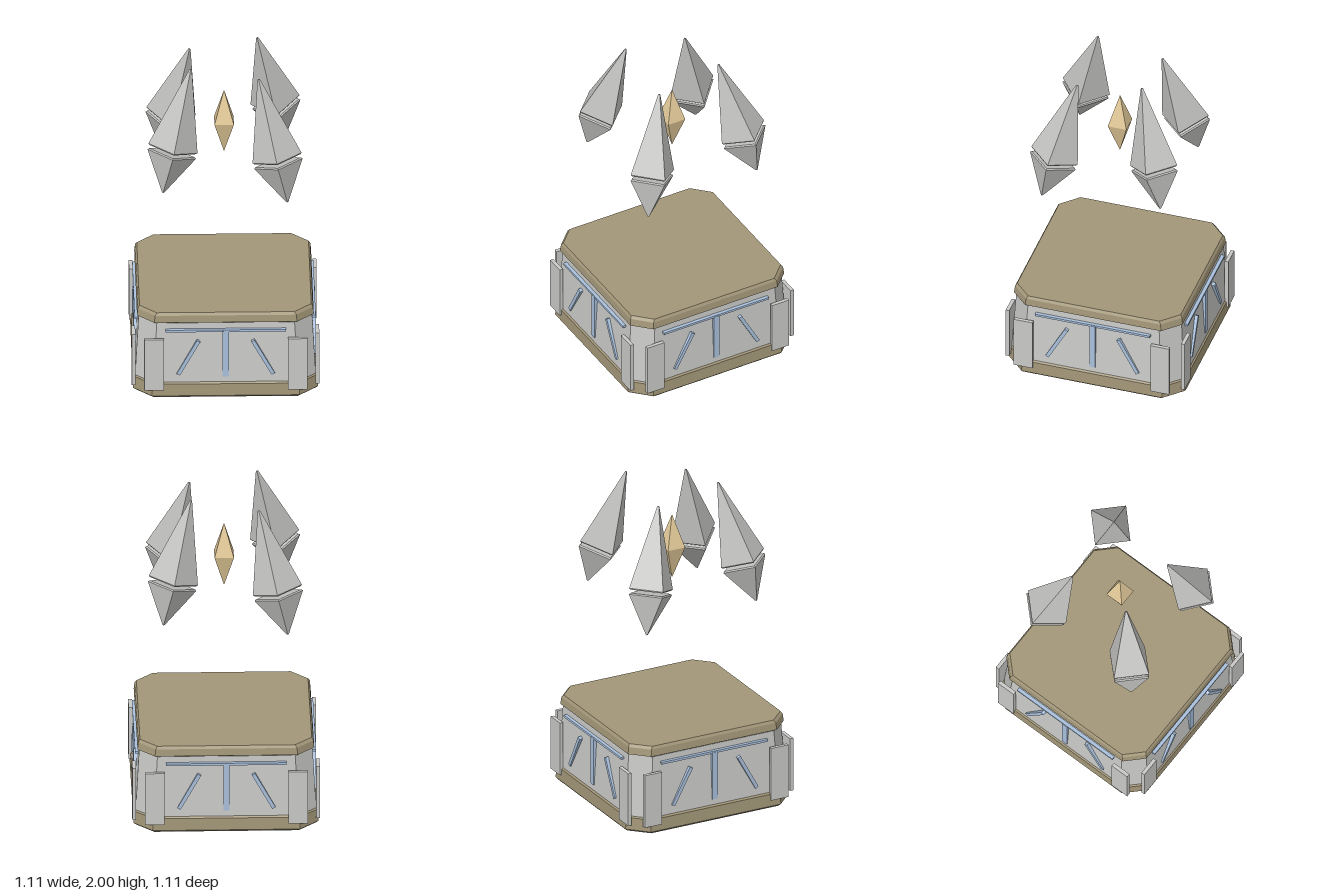
import * as THREE from 'three';

const mat = (name, color) => {
  const m = new THREE.MeshStandardMaterial({ color });
  m.name = name;
  return m;
};

// Gives every face its own normal
function faceted(geometry) {
  const g = geometry.index ? geometry.toNonIndexed() : geometry;
  g.computeVertexNormals();
  return g;
}

// Square slab with cut corners, lofted through [y, halfWidth] rings from bottom to top
function octagonSlab(rings, cut) {
  const positions = [], index = [];
  for (const [y, r] of rings) {
    const c = r - cut;
    for (const [x, z] of [[c, r], [r, c], [r, -c], [c, -r], [-c, -r], [-r, -c], [-r, c], [-c, r]]) {
      positions.push(x, y, z);
    }
  }
  for (let k = 0; k < rings.length - 1; k++) {
    for (let i = 0; i < 8; i++) {
      const a = k * 8 + i, b = k * 8 + (i + 1) % 8;
      index.push(a, b, b + 8, a, b + 8, a + 8);
    }
  }
  const top = (rings.length - 1) * 8;
  for (let i = 1; i < 7; i++) {
    index.push(0, i + 1, i);
    index.push(top, top + i, top + i + 1);
  }
  const g = new THREE.BufferGeometry();
  g.setAttribute('position', new THREE.Float32BufferAttribute(positions, 3));
  g.setIndex(index);
  return faceted(g);
}

// Four-sided solid from a [radius, y] profile, sides facing the axes
function squareLathe(profile) {
  const points = profile.map(([r, y]) => new THREE.Vector2(r, y));
  return faceted(new THREE.LatheGeometry(points, 4, Math.PI / 4));
}

export function createModel() {
  const model = new THREE.Group();
  const stone = mat('brownStone', 0xa29678);
  const panel = mat('paleGrey', 0xc9c9c7);
  const rock = mat('shardGrey', 0xc4c4c2);
  const blue = mat('paleBlue', 0xa9c0dc);
  const gold = mat('paleGold', 0xe2c998);

  const add = (parent, name, geometry, material, x = 0, y = 0, z = 0) => {
    const m = new THREE.Mesh(geometry, material);
    m.name = name;
    m.position.set(x, y, z);
    parent.add(m);
    return m;
  };

  // Pedestal
  add(model, 'plinth', octagonSlab([[0.006, 0.538], [0.015, 0.545], [0.09, 0.541], [0.102, 0.53]], 0.11), stone);
  add(model, 'pedestalWall', octagonSlab([[0, 0.53], [0.1, 0.532], [0.48, 0.511]], 0.105), panel);
  add(model, 'cap', octagonSlab([[0.475, 0.5], [0.487, 0.521], [0.53, 0.516], [0.546, 0.506]], 0.1), stone);

  // Corner plates and inlaid strips on each of the four sides
  for (let i = 0; i < 4; i++) {
    const side = new THREE.Group();
    side.name = 'sideDecoration';
    side.rotation.y = i * Math.PI / 2;
    model.add(side);
    add(side, 'topStrip', new THREE.BoxGeometry(0.71, 0.014, 0.026), blue, 0, 0.436, 0.521);
    add(side, 'centreStrip', new THREE.BoxGeometry(0.036, 0.3, 0.026), blue, 0, 0.285, 0.523);
    for (const s of [-1, 1]) {
      const slant = add(side, 'slantedStrip', new THREE.BoxGeometry(0.022, 0.25, 0.026), blue, s * 0.22, 0.26, 0.525);
      slant.rotation.z = s * 0.5;
      add(side, 'cornerPlate', new THREE.BoxGeometry(0.115, 0.335, 0.022), panel, s * 0.423, 0.222, 0.542);
    }
  }

  // Floating split shards, leaning in towards the middle; neighbours alternate in height
  const upper = squareLathe([[0, 0.006], [0.14, 0.006], [0.148, 0.014], [0.007, 0.505], [0, 0.508]]);
  const lower = squareLathe([[0, -0.264], [0.007, -0.26], [0.146, -0.022], [0.138, -0.014], [0, -0.014]]);
  for (let i = 0; i < 4; i++) {
    const turn = new THREE.Group();
    turn.name = 'shardPosition';
    turn.rotation.y = Math.PI / 4 + i * Math.PI / 2;
    model.add(turn);
    const shard = new THREE.Group();
    shard.name = 'shard';
    shard.position.set(0, i % 2 ? 1.519 : 1.449, 0.438);
    shard.rotation.x = -0.312;
    turn.add(shard);
    add(shard, 'upperShard', upper, rock);
    add(shard, 'lowerShard', lower, rock);
  }

  // Central gem
  add(model, 'coreGem', squareLathe([[0, -0.202], [0.081, 0], [0, 0.203]]), gold, 0, 1.556, 0);

  return model;
}
